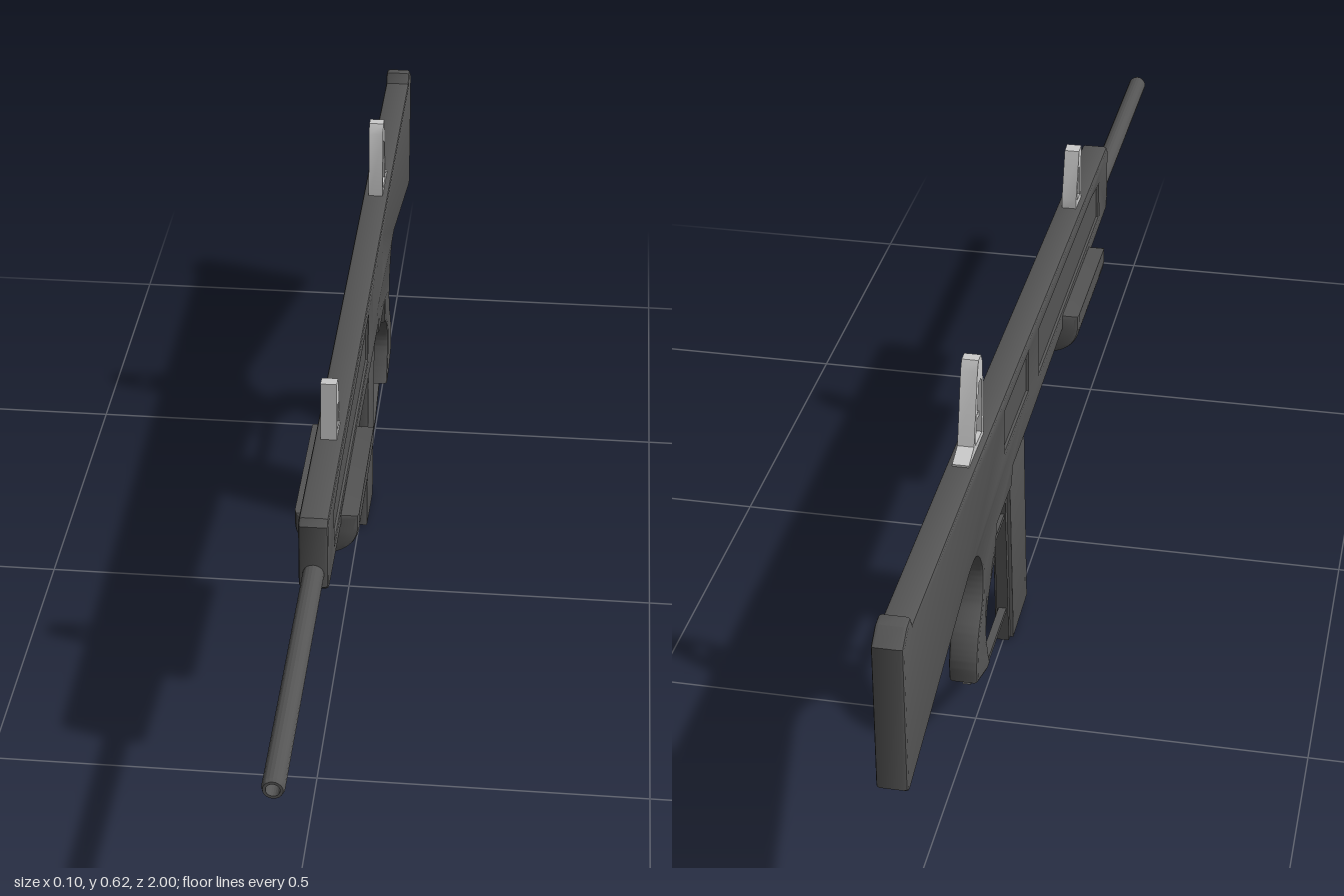
import * as THREE from 'three';
import { toCreasedNormals } from 'three/addons/utils/BufferGeometryUtils.js';

const dark = new THREE.MeshStandardMaterial({ color: 0x555555 });
const grey = new THREE.MeshStandardMaterial({ color: 0xcccccc });

const toPoints = (pts) => pts.map(([z, y]) => new THREE.Vector2(z, y));

// Extrude a side outline given as (z, y), centred across x; the bevel stays inside the outline
function sidePlate(shape, width, bevel) {
  const geo = new THREE.ExtrudeGeometry(shape, {
    depth: width - 2 * bevel, bevelEnabled: bevel > 0, bevelThickness: bevel,
    bevelSize: bevel, bevelOffset: -bevel, bevelSegments: 2, curveSegments: 8,
  });
  geo.translate(0, 0, -(width - 2 * bevel) / 2);
  geo.rotateY(-Math.PI / 2);
  return toCreasedNormals(geo, 0.6);
}

export function createModel() {
  const model = new THREE.Group();
  const add = (name, geo, mat = dark) => {
    const mesh = new THREE.Mesh(geo, mat);
    mesh.name = name;
    model.add(mesh);
    return mesh;
  };
  const box = (name, w, y0, y1, z0, z1, x = 0) => {
    const mesh = add(name, new THREE.BoxGeometry(w, y1 - y0, z1 - z0));
    mesh.position.set(x, (y0 + y1) / 2, (z0 + z1) / 2);
  };

  // Receiver, grip and stock in one outline
  const body = new THREE.Shape();
  body.moveTo(0.525, 0.372);
  body.lineTo(0.525, 0.474);
  body.lineTo(0.515, 0.483);
  body.lineTo(0.03, 0.485);
  body.lineTo(-0.57, 0.489);
  body.lineTo(-0.945, 0.487);
  body.lineTo(-0.955, 0.504);
  body.lineTo(-0.975, 0.502);
  body.lineTo(-1.0, 0.484);
  body.lineTo(-1.0, 0.262);
  body.lineTo(-0.99, 0.254);
  body.lineTo(-0.62, 0.343);
  body.splineThru(toPoints([[-0.585, 0.343], [-0.553, 0.328], [-0.53, 0.29], [-0.535, 0.243],
    [-0.565, 0.2], [-0.579, 0.16], [-0.579, 0.125]]));
  body.lineTo(-0.51, 0.1);
  body.lineTo(-0.49, 0.102);
  body.splineThru(toPoints([[-0.504, 0.135], [-0.513, 0.175], [-0.5, 0.212], [-0.47, 0.242], [-0.447, 0.254]]));
  body.lineTo(-0.432, 0.305);
  body.lineTo(-0.32, 0.305);
  body.lineTo(-0.315, 0.333);
  body.lineTo(-0.19, 0.336);
  body.lineTo(0.515, 0.363);

  // Recessed side panels on both sides, ejection port on one side only
  body.holes.push(
    new THREE.Path(toPoints([[0.437, 0.386], [-0.107, 0.378], [-0.107, 0.455], [0.36, 0.455], [0.437, 0.445]])),
    new THREE.Path(toPoints([[-0.19, 0.395], [-0.37, 0.395], [-0.37, 0.46], [-0.19, 0.46]])),
  );
  add('body', sidePlate(body, 0.043, 0.005));
  box('panelFloor', 0.033, 0.37, 0.463, -0.115, 0.445);
  box('ejectionPortFloor', 0.038, 0.39, 0.466, -0.376, -0.184, 0.0025);

  // Hollow barrel
  const barrel = new THREE.LatheGeometry(toPoints([[0.0155, 0.5], [0.0155, 0.994], [0.0135, 1],
    [0.0095, 1], [0.0095, 0.94], [0, 0.94]]), 20);
  barrel.rotateX(Math.PI / 2);
  add('barrel', toCreasedNormals(barrel, 0.6)).position.y = 0.394;

  // Half-round fore grip
  const half = new THREE.Shape();
  half.moveTo(0.048, 0.376);
  half.lineTo(-0.048, 0.376);
  half.lineTo(-0.048, 0.353);
  half.absarc(0, 0.353, 0.048, Math.PI, Math.PI * 2, false);
  const foreGrip = new THREE.ExtrudeGeometry(half, {
    depth: 0.239, bevelThickness: 0.008, bevelSize: 0.007, bevelOffset: -0.007, bevelSegments: 2, curveSegments: 20,
  });
  foreGrip.translate(0, 0, 0.098);
  add('foreGrip', toCreasedNormals(foreGrip, 0.6));

  // Magazine with a narrower rear rib
  add('magazine', sidePlate(new THREE.Shape(toPoints([[-0.195, 0.36], [-0.175, 0.006], [-0.285, 0], [-0.308, 0.36]])), 0.029, 0.002));
  add('magazineRib', sidePlate(new THREE.Shape(toPoints([[-0.3, 0.34], [-0.28, 0.001], [-0.295, 0], [-0.32, 0.34]])), 0.018, 0));

  // Trigger, trigger guard and lower guard rod
  add('trigger', sidePlate(new THREE.Shape(toPoints([[-0.4, 0.315], [-0.408, 0.28], [-0.398, 0.256],
    [-0.406, 0.254], [-0.419, 0.28], [-0.416, 0.315]])), 0.011, 0));
  box('triggerGuard', 0.014, 0.239, 0.247, -0.475, -0.305);
  add('lowerGuard', sidePlate(new THREE.Shape(toPoints([[-0.295, 0.064], [-0.434, 0.064], [-0.55, 0.113],
    [-0.558, 0.106], [-0.436, 0.056], [-0.295, 0.056]])), 0.012, 0));

  // Triangular sights with open centres
  const sight = (name, outline, hole) => {
    const shape = new THREE.Shape(toPoints(outline));
    shape.holes.push(new THREE.Path(toPoints(hole)));
    add(name, sidePlate(shape, 0.024, 0), grey);
  };
  sight('frontSight',
    [[0.309, 0.475], [0.309, 0.579], [0.288, 0.577], [0.263, 0.5], [0.263, 0.475]],
    [[0.298, 0.495], [0.273, 0.495], [0.293, 0.555]]);
  sight('rearSight',
    [[-0.476, 0.48], [-0.476, 0.605], [-0.485, 0.621], [-0.502, 0.621], [-0.51, 0.607],
      [-0.538, 0.502], [-0.572, 0.492], [-0.572, 0.48]],
    [[-0.486, 0.497], [-0.528, 0.499], [-0.502, 0.585], [-0.486, 0.585]]);
  const rod = new THREE.BoxGeometry(0.016, 0.008, 0.04);
  add('rearSightBar', rod, grey).position.set(0, 0.527, -0.503);

  return model;
}
